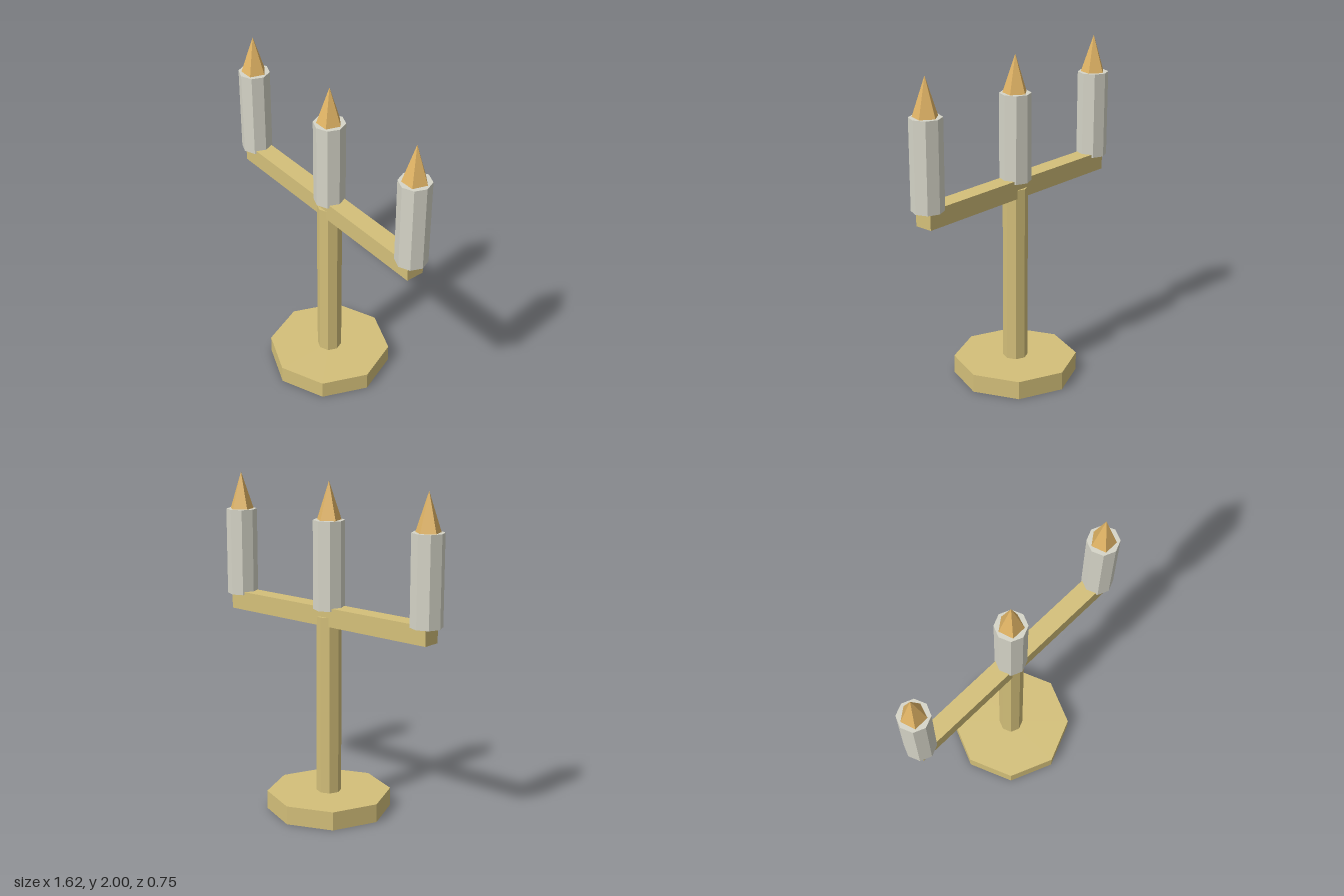
import * as THREE from 'three';

export function createModel() {
  const group = new THREE.Group();
  group.name = 'candelabrum';

  const material = (name, color) => {
    const m = new THREE.MeshStandardMaterial({ color, flatShading: true });
    m.name = name;
    return m;
  };
  const brass = material('brass', 0xd4c07a);
  const wax = material('wax', 0xd6d5c8);
  const fire = material('flame', 0xe2b566);

  const add = (name, geometry, mat, x, y, z = 0) => {
    const mesh = new THREE.Mesh(geometry, mat);
    mesh.name = name;
    mesh.position.set(x, y, z);
    group.add(mesh);
    return mesh;
  };

  // Octagonal foot, stem and crossbar
  add('base', new THREE.CylinderGeometry(0.377, 0.377, 0.113, 8), brass, 0, 0.0565);
  add('stem', new THREE.CylinderGeometry(0.075, 0.075, 1.095, 8), brass, 0, 0.6575);
  add('crossbar', new THREE.BoxGeometry(1.508, 0.113, 0.113), brass, 0, 1.208);

  // Three candles with five-sided flames, one flat side to the front
  const candle = new THREE.CylinderGeometry(0.094, 0.094, 0.528, 8);
  const flame = new THREE.ConeGeometry(0.075, 0.226, 5).rotateY(Math.PI);
  [['right', -0.717], ['middle', 0], ['left', 0.717]].forEach(([side, x]) => {
    add(`${side}Candle`, candle, wax, x, 1.51);
    add(`${side}Flame`, flame, fire, x, 1.887);
  });

  return group;
}
